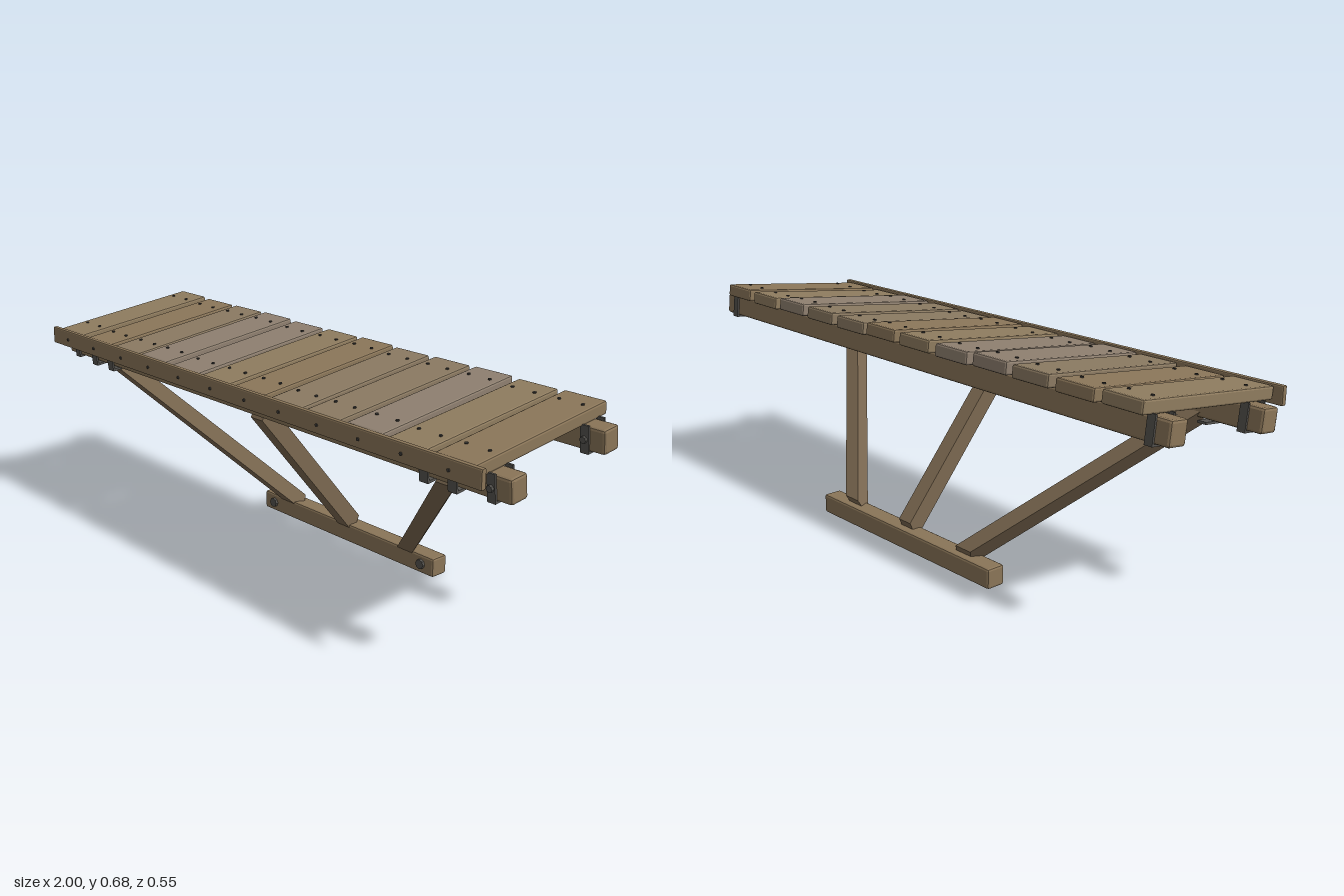
import * as THREE from 'three';
import { RoundedBoxGeometry } from 'three/addons/geometries/RoundedBoxGeometry.js';

const TILT = 0.117;
const mat = (color) => new THREE.MeshStandardMaterial({ color, flatShading: true });
const WOOD = mat(0x8a7558), DARK_WOOD = mat(0x7b6850), METAL = mat(0x55534f), NAIL = mat(0x3d3b38);
const PLANK_TONES = [0x8f7c5f, 0x8f8070, 0x8b7a62, 0x8c775a].map(mat);

function add(parent, name, geometry, material, x = 0, y = 0, z = 0) {
  const mesh = new THREE.Mesh(geometry, material);
  mesh.name = name;
  mesh.position.set(x, y, z);
  parent.add(mesh);
  return mesh;
}

// Chamfered timber
const timber = (w, h, d, r = 0.006) => new RoundedBoxGeometry(w, h, d, 1, r);

// Bolt or nail head; its axis points along y, or along z when facing forward
function head(parent, name, radius, height, x, y, z, forward = false) {
  const geometry = new THREE.CylinderGeometry(radius, radius, height, 8);
  if (forward) geometry.rotateX(Math.PI / 2);
  return add(parent, name, geometry, radius > 0.006 ? METAL : NAIL, x, y, z);
}

function tilted(root, name, y, z) {
  const group = new THREE.Group();
  group.name = name;
  group.position.set(0, y, z);
  group.rotation.x = TILT;
  root.add(group);
  return group;
}

// Beam with a metal strap around each end
function buildBeam(root, name, y, z) {
  const beam = tilted(root, name, y, z);
  add(beam, 'beamTimber', timber(2, 0.07, 0.062, 0.008), WOOD);
  for (const s of [-1, 1]) {
    const x = s * 0.94;
    for (const side of [-1, 1])
      add(beam, 'strapSide', new THREE.BoxGeometry(0.026, 0.08, 0.006), METAL, x, 0, side * 0.034);
    add(beam, 'strapBottom', new THREE.BoxGeometry(0.026, 0.006, 0.074), METAL, x, -0.038, 0);
    head(beam, 'strapBolt', 0.01, 0.008, x, 0, 0.041, true);
  }
  return beam;
}

// Diagonal strut whose ends are slid along its axis to meet the beam and the sill
function buildStrut(root, name, bottom, top, width) {
  const axis = top.clone().sub(bottom).normalize();
  const side = new THREE.Vector3(1, 0, 0).addScaledVector(axis, -axis.x).normalize();
  const up = new THREE.Vector3().crossVectors(axis, side);
  const geometry = new THREE.BoxGeometry(width, width, bottom.distanceTo(top));
  geometry.applyMatrix4(new THREE.Matrix4().makeBasis(side, up, axis)
    .setPosition(bottom.clone().lerp(top, 0.5)));
  const p = geometry.attributes.position, v = new THREE.Vector3();
  for (let i = 0; i < p.count; i++) {
    v.fromBufferAttribute(p, i);
    const slide = v.y > 0.3
      ? Math.min((0.55 - v.y) / axis.y, (0.16 - v.z) / axis.z)
      : Math.max((0.03 - v.y) / axis.y, (-0.25 - v.z) / axis.z);
    v.addScaledVector(axis, slide);
    p.setXYZ(i, v.x, v.y, v.z);
  }
  geometry.computeVertexNormals();
  add(root, name, geometry, DARK_WOOD);
}

export function createModel() {
  const root = new THREE.Group();
  root.name = 'woodenPlatform';

  // Two long beams under the deck
  const frontBeam = buildBeam(root, 'frontBeam', 0.556, 0.163);
  buildBeam(root, 'backBeam', 0.6, -0.204);

  // Angle brackets holding the outer struts to the front beam
  for (const x of [-0.82, -0.722, 0.722, 0.82]) {
    add(frontBeam, 'bracketFace', new THREE.BoxGeometry(0.03, 0.085, 0.006), METAL, x, -0.002, 0.042);
    add(frontBeam, 'bracketFoot', new THREE.BoxGeometry(0.03, 0.007, 0.09), METAL, x, -0.042, 0);
  }

  // Deck planks with slight variation, nailed to both beams
  const deck = tilted(root, 'deck', 0.633, -0.01);
  const centres = [-0.875, -0.715, -0.553, -0.4, -0.24, -0.08, 0.08, 0.232, 0.39, 0.55, 0.705, 0.865];
  centres.forEach((x, i) => {
    const plank = new THREE.Group();
    plank.name = 'plank';
    plank.position.set(x, -0.002 * ((i * 5) % 3), 0);
    plank.rotation.y = 0.008 * (((i * 7) % 5) - 2) / 2;
    deck.add(plank);
    add(plank, 'plankBoard', timber(0.136, 0.039, 0.52), PLANK_TONES[(i * 3 + (i >> 2)) % 4]);
    for (const nx of [-0.038, 0.038])
      for (const nz of [0.175, -0.195]) head(plank, 'deckNail', 0.005, 0.006, nx, 0.02, nz);
  });

  // Fascia board along the front edge
  add(root, 'fasciaBoard', timber(1.94, 0.056, 0.017, 0.004), WOOD, 0, 0.597, 0.263);
  for (const x of centres) head(root, 'fasciaNail', 0.005, 0.005, x, 0.595, 0.272, true);

  // Low sill at the back with bolts near its ends
  add(root, 'sill', timber(0.8, 0.062, 0.061, 0.007), WOOD, 0, 0.031, -0.2365);
  for (const s of [-1, 1]) head(root, 'sillBolt', 0.016, 0.01, s * 0.35, 0.032, -0.202, true);

  // Three struts fanning from the sill to the front beam
  for (const s of [-1, 0, 1])
    buildStrut(root, s ? 'sideStrut' : 'middleStrut',
      new THREE.Vector3(s * 0.275, 0.068, -0.228), new THREE.Vector3(s * 0.775, 0.532, 0.155), s ? 0.05 : 0.054);

  return root;
}
